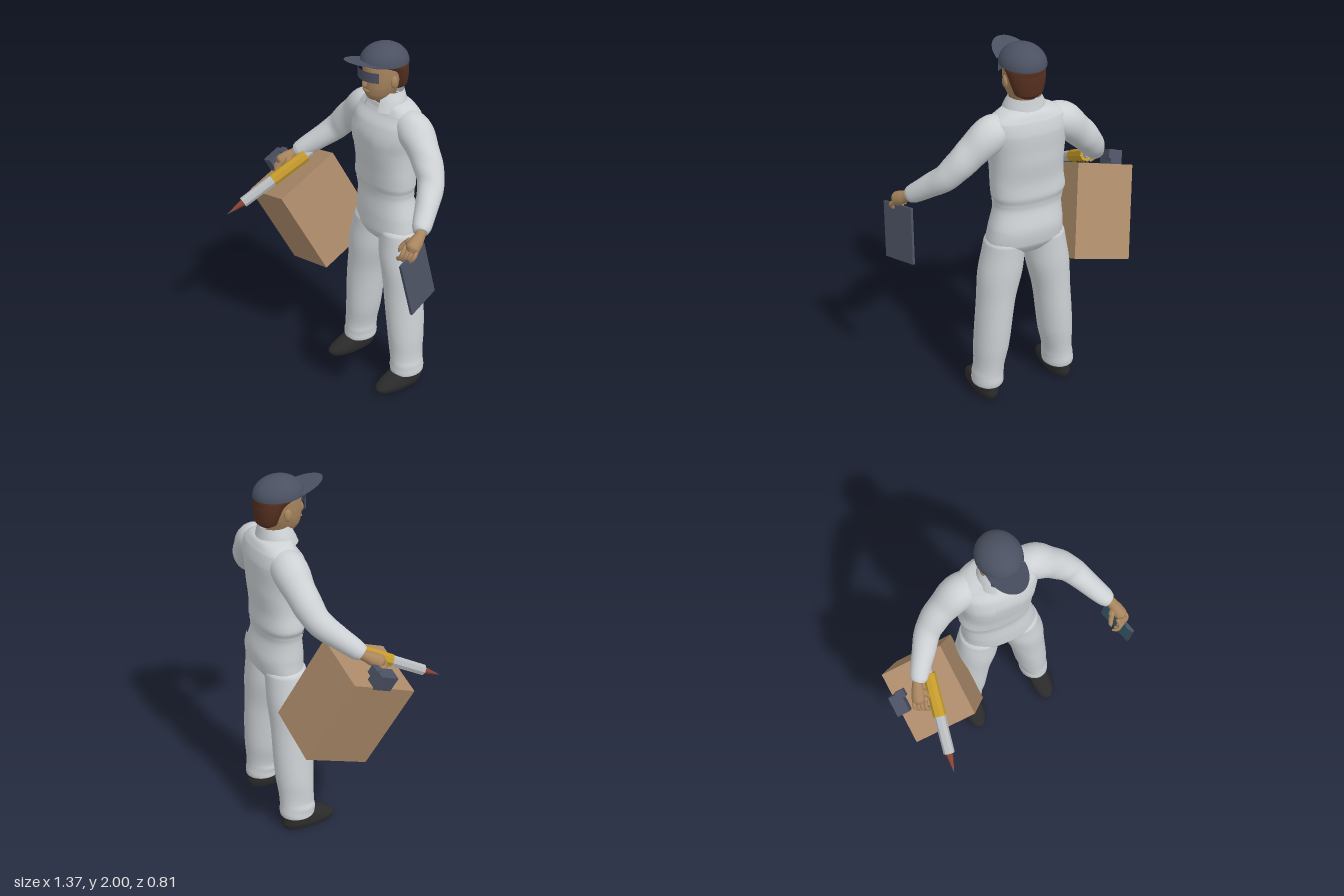
import * as THREE from 'three';
import { ParametricGeometry } from 'three/addons/geometries/ParametricGeometry.js';

const V = (x, y, z) => new THREE.Vector3(x, y, z);
const CX = 0.035; // the figure's own mid-plane

function mat(name, color, double = false) {
  const m = new THREE.MeshStandardMaterial({ color });
  m.name = name;
  if (double) m.side = THREE.DoubleSide;
  return m;
}

// Smooth skin through sections [x, y, z, halfWidth, halfDepth]; u and v pick a patch of it
function loft(sections, o = {}) {
  const { upright = true, power = 2, wrinkle = 0, grow = 0, u = [0, 1], v = [0, 1], nu = 32, nv = 40 } = o;
  const path = new THREE.CatmullRomCurve3(sections.map((s) => V(s[0], s[1], s[2])));
  const size = new THREE.CatmullRomCurve3(sections.map((s) => V(s[3], s[4] ?? s[3], 0)));
  const bend = (c) => Math.sign(c) * Math.abs(c) ** (2 / power);
  return new ParametricGeometry((uu, vv, out) => {
    const a = (u[0] + (u[1] - u[0]) * uu) * Math.PI * 2;
    const t = v[0] + (v[1] - v[0]) * vv;
    const dir = upright ? V(0, 1, 0) : path.getTangent(t);
    const e1 = dir.clone().cross(V(0, 0, 1)).normalize();
    const e2 = e1.clone().cross(dir);
    const r = size.getPoint(t);
    const k = 1 + wrinkle * Math.sin(t * 34 + 2 * Math.sin(a + 1) + a);
    out.copy(path.getPoint(t))
      .addScaledVector(e1, (Math.max(r.x, 0.001) * k + grow) * bend(Math.sin(a)))
      .addScaledVector(e2, (Math.max(r.y, 0.001) * k + grow) * bend(Math.cos(a)));
  }, nu, nv);
}

// Turn an object so its y axis follows up and its z axis lies towards front
function orient(obj, up, front) {
  const y = up.clone().normalize();
  const x = y.clone().cross(front).normalize();
  obj.quaternion.setFromRotationMatrix(new THREE.Matrix4().makeBasis(x, y, x.clone().cross(y)));
}

function faceted(geo) {
  const g = geo.toNonIndexed();
  g.computeVertexNormals();
  return g;
}

export function createModel() {
  const root = new THREE.Group();
  root.name = 'workerWithParcel';
  const suit = mat('suitWhite', 0xcdd1d4, true);
  const skin = mat('skin', 0xa8855f);
  const navy = mat('navy', 0x4b5162, true);
  const teal = mat('screenTeal', 0x3f6478);
  const black = mat('shoeBlack', 0x2a2a2b);
  const brown = mat('hairBrown', 0x552f1f);
  const card = mat('cardboard', 0xab8a69);
  const yellow = mat('yellow', 0xc49a2c);
  const grey = mat('lightGrey', 0xb9bcbf);
  const red = mat('rustRed', 0x8a4234);

  const add = (name, geo, material, parent = root) => {
    const m = new THREE.Mesh(geo, material);
    m.name = name;
    parent.add(m);
    return m;
  };
  const blob = (name, p, s, material) => {
    const m = add(name, new THREE.SphereGeometry(1, 20, 14), material);
    m.position.set(...p);
    m.scale.set(...s);
    return m;
  };

  // Overall body, bloused above the waist
  const torso = [
    [0.035, 0.86, -0.26, 0.03, 0.03], [0.037, 0.89, -0.26, 0.16, 0.09], [0.037, 0.95, -0.267, 0.212, 0.122],
    [0.033, 1.03, -0.272, 0.206, 0.126], [0.02, 1.15, -0.265, 0.186, 0.11], [0.018, 1.18, -0.265, 0.19, 0.112],
    [0.016, 1.22, -0.265, 0.203, 0.122], [0.022, 1.3, -0.26, 0.198, 0.122], [0.025, 1.42, -0.258, 0.203, 0.137],
    [0.028, 1.5, -0.257, 0.213, 0.14], [0.032, 1.58, -0.268, 0.222, 0.13], [0.035, 1.64, -0.28, 0.205, 0.105],
    [0.035, 1.68, -0.275, 0.14, 0.085], [0.035, 1.705, -0.265, 0.06, 0.05]];
  const at = (i) => i / (torso.length - 1);
  add('torso', loft(torso, { power: 2.3, wrinkle: 0.006, nv: 70 }), suit);
  add('waistband', loft(torso, { power: 2.3, grow: 0.004, v: [at(4), at(5)], nv: 4 }), suit);
  for (const s of [-1, 1]) {
    const chest = s > 0 ? [0.04, 0.13] : [-0.13, -0.04];
    const seat = s > 0 ? [0.38, 0.46] : [0.54, 0.62];
    add('chestPocket', loft(torso, { power: 2.3, grow: 0.006, u: chest, v: [at(8.1), at(9.5)], nu: 8, nv: 6 }), suit);
    add('backPocket', loft(torso, { power: 2.3, grow: 0.007, u: seat, v: [at(2.2), at(3.5)], nu: 8, nv: 6 }), suit);
  }

  // Folded collar, open at the front
  const collar = [[CX, 1.65, -0.25, 0.122, 0.112], [CX, 1.7, -0.255, 0.106, 0.095], [CX, 1.745, -0.262, 0.084, 0.08]];
  add('collar', loft(collar, { u: [0.07, 0.93], nv: 8 }), suit);

  for (const s of [-1, 1]) {
    const side = s > 0 ? 'left' : 'right';
    const m = (list) => list.map(([d, ...rest]) => [CX + s * d, ...rest]);

    // Trouser leg and shoe
    add(side + 'Leg', loft(m([
      [0.218, 0.07, -0.257, 0.06, 0.07], [0.218, 0.085, -0.257, 0.084, 0.098], [0.216, 0.13, -0.257, 0.085, 0.1],
      [0.212, 0.17, -0.257, 0.081, 0.096], [0.197, 0.3, -0.26, 0.092, 0.106], [0.166, 0.6, -0.26, 0.104, 0.113],
      [0.135, 0.8, -0.26, 0.118, 0.117], [0.112, 0.95, -0.265, 0.11, 0.112], [0.105, 1.0, -0.265, 0.07, 0.07],
    ]), { wrinkle: 0.012, nv: 60 }), suit);
    add(side + 'Shoe', loft(m([
      [0.224, 0, -0.2, 0.01, 0.03], [0.224, 0.004, -0.196, 0.055, 0.145], [0.224, 0.03, -0.195, 0.063, 0.156],
      [0.222, 0.065, -0.215, 0.06, 0.133], [0.22, 0.1, -0.255, 0.055, 0.085], [0.22, 0.13, -0.26, 0.045, 0.06],
    ]), { power: 2.3, nv: 24 }), black);

    // Sleeve
    add(side + 'Arm', loft(m([
      [0.11, 1.59, -0.275, 0.08], [0.2, 1.57, -0.275, 0.094], [0.29, 1.495, -0.265, 0.083],
      [0.36, 1.425, -0.248, 0.076], [0.41, 1.365, -0.222, 0.069], [0.47, 1.295, -0.15, 0.061],
      [0.535, 1.222, -0.065, 0.048], [0.548, 1.208, -0.05, 0.038], [0.552, 1.205, -0.046, 0.01],
    ]), { upright: false, wrinkle: 0.014, nv: 56 }), suit);

    // Hand with curled fingers
    add(side + 'Palm', loft(m([
      [0.535, 1.22, -0.07, 0.03], [0.555, 1.2, -0.04, 0.028], [0.57, 1.18, -0.005, 0.033, 0.036],
      [0.583, 1.16, 0.03, 0.034, 0.038], [0.59, 1.145, 0.05, 0.012],
    ]), { upright: false, nu: 16, nv: 16 }), skin);
    for (let i = 0; i < 4; i++) {
      const k = i * 0.018;
      add(side + 'Finger', loft(m([
        [0.603 - k, 1.155 + k * 0.3, 0.015 + k * 0.6, 0.01], [0.613 - k, 1.125, 0.045 + k * 0.6, 0.012],
        [0.595 - k, 1.1, 0.055 + k * 0.5, 0.011], [0.57 - k, 1.093, 0.045 + k * 0.5, 0.005],
      ]), { upright: false, nu: 10, nv: 12 }), skin);
    }
    add(side + 'Thumb', loft(m([
      [0.558, 1.185, -0.01, 0.014], [0.53, 1.17, 0.025, 0.014], [0.515, 1.14, 0.05, 0.012], [0.515, 1.12, 0.06, 0.004],
    ]), { upright: false, nu: 10, nv: 12 }), skin);

    blob(side + 'Ear', [CX + s * 0.092, 1.815, -0.225], [0.012, 0.033, 0.021], skin);
  }

  // Head, nose, lips and hair
  add('head', loft([
    [CX, 1.62, -0.26, 0.055, 0.06], [CX, 1.69, -0.25, 0.055, 0.066], [CX, 1.712, -0.22, 0.052, 0.08],
    [CX, 1.735, -0.212, 0.064, 0.09], [CX, 1.775, -0.215, 0.08, 0.102], [CX, 1.83, -0.225, 0.091, 0.114],
    [CX, 1.89, -0.23, 0.094, 0.117], [CX, 1.94, -0.235, 0.075, 0.09], [CX, 1.96, -0.235, 0.01, 0.01],
  ]), skin);
  const nose = blob('nose', [CX - 0.003, 1.812, -0.112], [0.015, 0.032, 0.018], skin);
  nose.rotation.x = -0.3;
  blob('lips', [CX - 0.003, 1.766, -0.117], [0.026, 0.009, 0.009], skin);
  add('hair', loft([
    [CX, 1.745, -0.3, 0.04, 0.035], [CX, 1.765, -0.3, 0.072, 0.055], [CX, 1.81, -0.293, 0.088, 0.067],
    [CX, 1.865, -0.273, 0.099, 0.088], [CX, 1.9, -0.243, 0.102, 0.118], [CX, 1.93, -0.24, 0.08, 0.09],
  ]), brown);

  // Wraparound glasses
  const glasses = add('glasses', new THREE.CylinderGeometry(0.112, 0.112, 0.055, 16, 1, true, -0.88, 1.76), navy);
  glasses.position.set(0.032, 1.855, -0.203);

  // Cap dome and flat brim
  const dome = add('capDome', new THREE.SphereGeometry(1, 32, 14, 0, Math.PI * 2, 0, Math.PI / 2), navy);
  dome.position.set(0.033, 1.9, -0.232);
  dome.scale.set(0.118, 0.1, 0.134);
  dome.rotation.x = -0.04;
  const half = new THREE.Shape();
  half.absellipse(0, 0, 0.1, 0.166, 0, Math.PI, false, 0);
  const brim = add('capBrim', new THREE.ShapeGeometry(half, 20), navy);
  brim.position.set(0.033, 1.91, -0.15);
  brim.rotation.x = 1.29;

  // Cardboard box under the right arm
  const boxUp = V(-0.127, 0.45, 0.205), boxFront = V(0.033, -0.158, 0.365);
  const box = add('cardboardBox', new THREE.BoxGeometry(0.345, 0.51, 0.4), card);
  box.position.set(-0.4225, 0.8865, -0.095);
  orient(box, boxUp, boxFront);

  // Small device beside the right hand
  const device = new THREE.Group();
  device.name = 'device';
  add('deviceBody', new THREE.BoxGeometry(0.07, 0.085, 0.11), navy, device);
  add('deviceKnob', new THREE.BoxGeometry(0.05, 0.05, 0.04), navy, device).position.set(0.03, 0.02, -0.045);
  device.position.set(-0.64, 1.115, -0.005);
  orient(device, boxUp, boxFront);
  root.add(device);

  // Pointed tool in the right hand, as stacked [name, start, end, startRadius, endRadius, material]
  const tool = new THREE.Group();
  tool.name = 'pointedTool';
  const stages = [
    ['toolStub', 0, 0.045, 0.02, 0.02, grey], ['toolGrip', 0.04, 0.27, 0.035, 0.035, yellow],
    ['toolBarrel', 0.27, 0.475, 0.031, 0.03, grey], ['toolCone', 0.475, 0.56, 0.02, 0.005, red],
    ['toolTip', 0.56, 0.582, 0.005, 0.001, navy]];
  for (const [name, a, b, r0, r1, material] of stages) {
    add(name, faceted(new THREE.CylinderGeometry(r1, r0, b - a, 8)), material, tool).position.y = (a + b) / 2;
  }
  tool.position.set(-0.44, 1.225, -0.1);
  orient(tool, V(-0.08, -0.268, 0.51), V(0, 1, 0));
  root.add(tool);

  // Tablet in the left hand, screen on its inner side
  const tablet = new THREE.Group();
  tablet.name = 'tablet';
  add('tabletBody', new THREE.BoxGeometry(0.014, 0.302, 0.215), navy, tablet);
  add('tabletScreen', new THREE.BoxGeometry(0.004, 0.292, 0.205), teal, tablet).position.x = -0.008;
  tablet.position.set(0.627, 0.976, 0);
  orient(tablet, V(-0.025, 0.295, 0.06), V(0.07, -0.06, 0.2));
  root.add(tablet);

  return root;
}
